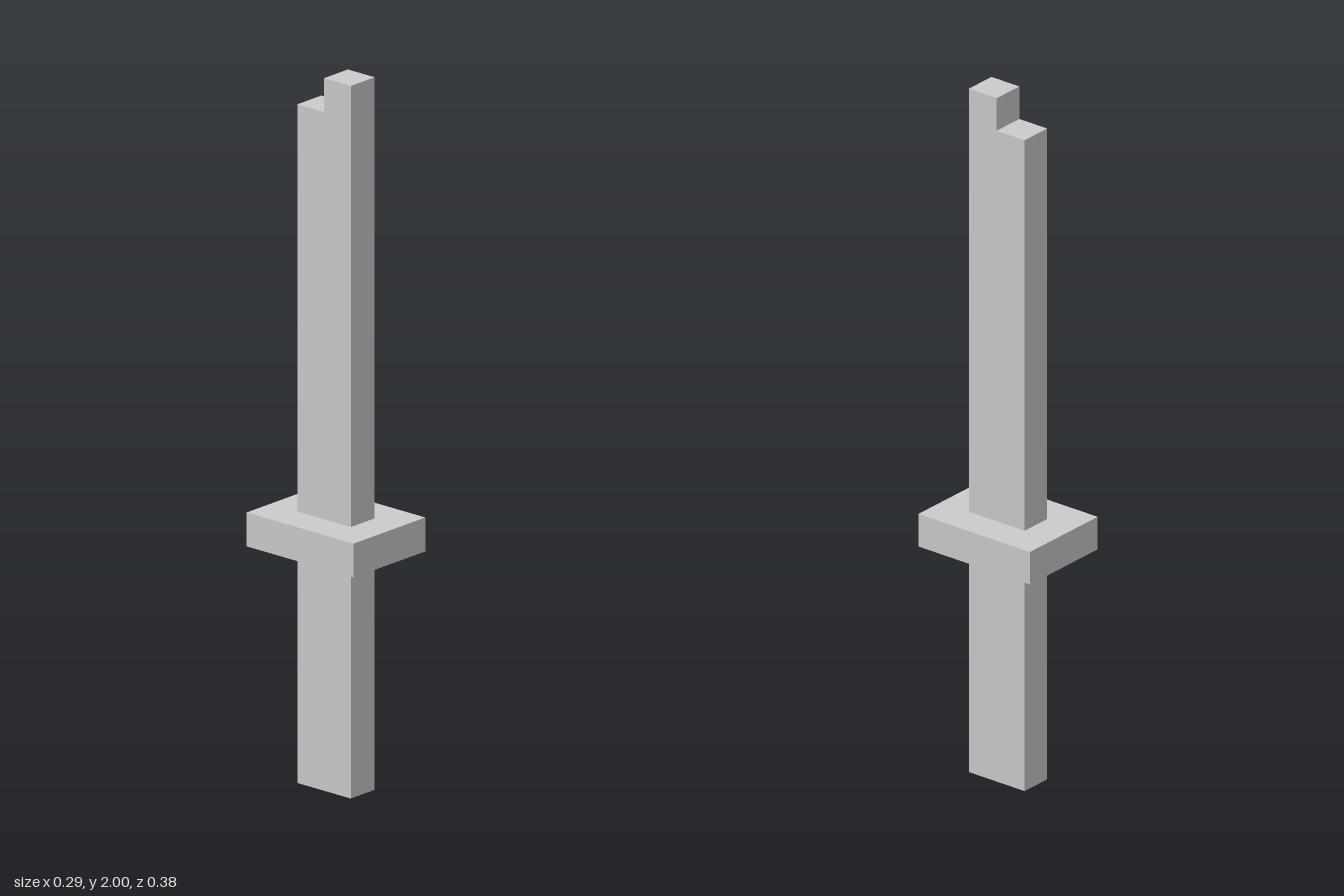
import * as THREE from 'three';

const U = 2 / 21; // block unit: the sword is 21 blocks long

export function createModel() {
  const group = new THREE.Group();
  const material = new THREE.MeshStandardMaterial({ color: 0xcccccc, flatShading: true });

  const add = (name, geometry) => {
    const mesh = new THREE.Mesh(geometry, material);
    mesh.name = name;
    group.add(mesh);
  };

  // box of w x d blocks, spanning heights y0 to y1 in blocks
  const block = (w, d, y0, y1) =>
    new THREE.BoxGeometry(w * U, (y1 - y0) * U, d * U).translate(0, ((y0 + y1) / 2) * U, 0);

  add('handle', block(1, 2, 0, 7));
  add('guard', block(3, 4, 7, 8));

  // blade: side profile (z, y) with a stepped tip, one block thick
  const profile = [[-1, 8], [1, 8], [1, 21], [0, 21], [0, 20], [-1, 20]];
  const shape = new THREE.Shape(profile.map(([z, y]) => new THREE.Vector2(z * U, y * U)));
  const blade = new THREE.ExtrudeGeometry(shape, { depth: U, bevelEnabled: false });
  blade.translate(0, 0, -U / 2).rotateY(-Math.PI / 2);
  add('blade', blade);

  return group;
}
